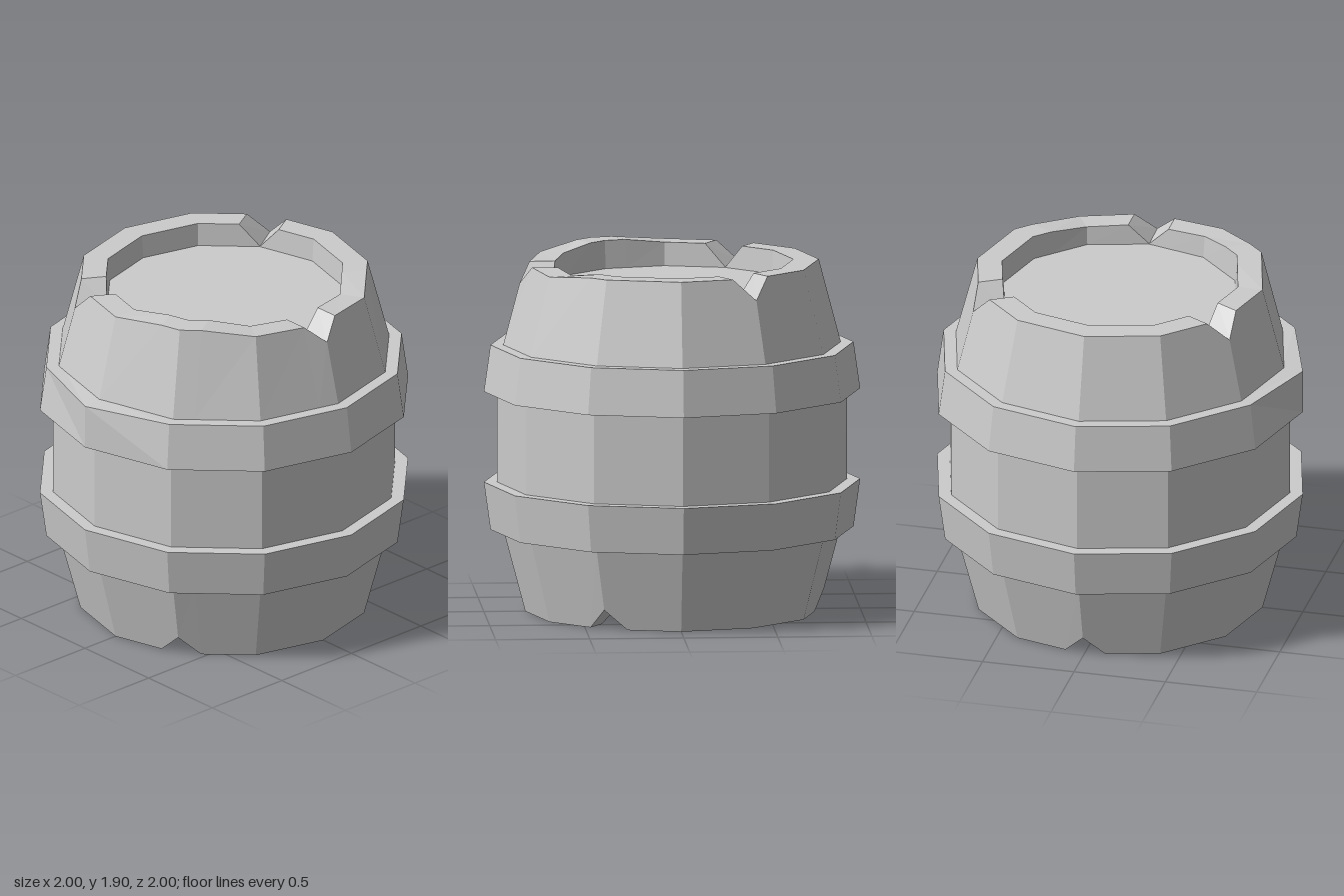
import * as THREE from 'three';

const SIDES = 12;
const NOTCH = 0.11; // half-width of a notch along the rim
const material = new THREE.MeshStandardMaterial({ color: 0xcccccc, flatShading: true });

// Corner k of a 12-sided ring; corner 0 faces the front (+z)
const corner = (k, r) => {
  const a = (k * Math.PI * 2) / SIDES;
  return new THREE.Vector3(r * Math.sin(a), 0, r * Math.cos(a));
};

// Rings from the underside centre, up the staves, to the lid centre.
// cut: which rim the ring belongs to; cutR, cutY: where its notch corners go
const rings = [
  { r: 0, y: 0.11 },
  { r: 0.635, y: 0.11 },
  { r: 0.645, y: 0, cut: 'bottom', cutR: 0.636, cutY: 0.108 },
  { r: 0.78, y: 0, cut: 'bottom', cutR: 0.808, cutY: 0.108 },
  { r: 0.897, y: 0.44 },
  { r: 0.93, y: 0.695 },
  { r: 0.93, y: 1.18 },
  { r: 0.897, y: 1.43 },
  { r: 0.78, y: 1.875, cut: 'top', cutR: 0.81, cutY: 1.76 },
  { r: 0.645, y: 1.875, cut: 'top', cutR: 0.636, cutY: 1.752 },
  { r: 0.635, y: 1.75 },
  { r: 0, y: 1.75 },
];

// Slight unevenness of the top rim, by corner
const rimLift = { 0: -0.015, 1: -0.025, 10: 0.025, 11: -0.005 };

// One ring of points: every corner, plus a shoulder either side of even corners
function ringPoints({ r, y, cut, cutR, cutY }) {
  const points = [];
  const t = r > 0 ? Math.min(0.4, NOTCH / (r * 0.5)) : 0;
  for (let k = 0; k < SIDES; k++) {
    const lift = cut === 'top' ? rimLift[k] || 0 : 0;
    const notched = (cut === 'top' && k % 4 === 0) || (cut === 'bottom' && k % 4 === 2);
    const tip = notched ? corner(k, cutR).setY(cutY) : corner(k, r).setY(y + lift);
    if (k % 2) {
      points.push(tip);
      continue;
    }
    const side = (n) => corner(k, r).lerp(corner(n, r), t).setY(y + lift);
    points.push(side(k - 1), tip, side(k + 1));
  }
  return points;
}

function barrelBody() {
  const loops = rings.map(ringPoints);
  const n = loops[0].length;
  const index = [];
  for (let j = 0; j < loops.length - 1; j++) {
    for (let i = 0; i < n; i++) {
      const a = j * n + i, b = j * n + ((i + 1) % n);
      index.push(a, b, b + n, a, b + n, a + n);
    }
  }
  const geometry = new THREE.BufferGeometry().setFromPoints(loops.flat());
  geometry.setIndex(index);
  geometry.computeVertexNormals();
  return geometry;
}

// Closed 12-sided band around the staves
function hoop(y0, r0, y1, r1) {
  const profile = [[0.88, y0], [r0, y0], [r1, y1], [0.88, y1], [0.88, y0]];
  return new THREE.LatheGeometry(profile.map(([x, y]) => new THREE.Vector2(x, y)), SIDES);
}

export function createModel() {
  const group = new THREE.Group();
  group.name = 'barrel';
  const add = (name, geometry) => {
    const mesh = new THREE.Mesh(geometry, material);
    mesh.name = name;
    group.add(mesh);
  };

  add('staves', barrelBody());
  add('lowerHoop', hoop(0.44, 0.965, 0.695, 1));

  // Upper hoop, with one corner bent outward on the right
  const upper = hoop(1.18, 1, 1.43, 0.965);
  const p = upper.attributes.position;
  for (let i = 0; i < p.count; i++) {
    if (p.getX(i) < -0.95 && p.getY(i) > 1.4) p.setXYZ(i, -1, 1.42, 0);
  }
  upper.computeVertexNormals();
  add('upperHoop', upper);
  return group;
}
